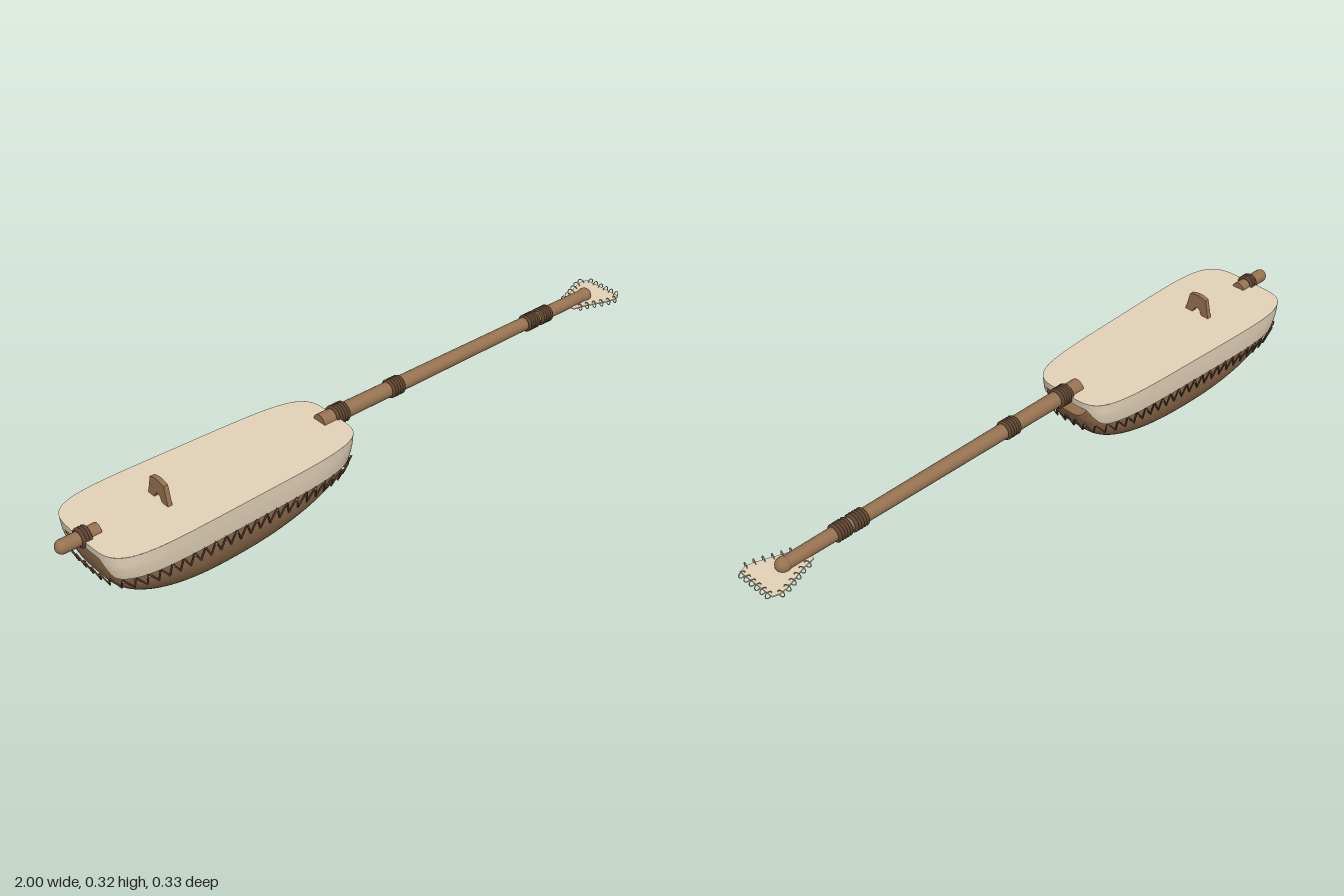
import * as THREE from 'three';

const mat = (name, color, side = THREE.FrontSide) => {
  const m = new THREE.MeshStandardMaterial({ color, side });
  m.name = name;
  return m;
};

// bowl profile, bottom to top: height, scale of outline, squareness of outline
const TOP = 0.258;
const MID_X = -0.517;
const PROFILE = [
  [0.001, 0, 2], [0.004, 0.18, 2], [0.012, 0.34, 2.1], [0.026, 0.5, 2.3], [0.05, 0.66, 2.7],
  [0.09, 0.815, 3.3], [0.14, 0.925, 4.1], [0.185, 0.972, 4.7], [0.22, 0.99, 5], [TOP, 1, 5],
];
const profileCurve = new THREE.CatmullRomCurve3(PROFILE.map(p => new THREE.Vector3(...p)));

// point on the body outline at an angle, for a given height, scale and squareness
function outline(phi, y, s, n, off = 0) {
  const c = Math.cos(phi), k = Math.sin(phi);
  const r = Math.pow(Math.abs(c) ** n + Math.abs(k) ** n, -1 / n);
  const dx = c * r;
  const width = 0.153 - 0.0145 * dx;
  return new THREE.Vector3(
    MID_X - 0.03 * (1 - s) + dx * (0.408 * s + off), y, k * r * (width * s + off));
}

// same, looked up by height alone
function wall(phi, y, off) {
  let i = 0;
  while (i < PROFILE.length - 2 && PROFILE[i + 1][0] < y) i++;
  const [a, b] = [PROFILE[i], PROFILE[i + 1]];
  const t = (y - a[0]) / (b[0] - a[0]);
  return outline(phi, y, a[1] + (b[1] - a[1]) * t, a[2] + (b[2] - a[2]) * t, off);
}

// closed grid around the body: fn(angle, v) with v running upwards
function loft(cols, rows, fn) {
  const pos = [], idx = [];
  for (let j = 0; j <= rows; j++)
    for (let i = 0; i <= cols; i++)
      pos.push(...fn((i / cols) * Math.PI * 2, j / rows).toArray());
  for (let j = 0; j < rows; j++)
    for (let i = 0; i < cols; i++) {
      const a = j * (cols + 1) + i, up = a + cols + 1;
      idx.push(a, up, up + 1, a, up + 1, a + 1);
    }
  const g = new THREE.BufferGeometry();
  g.setAttribute('position', new THREE.Float32BufferAttribute(pos, 3));
  g.setIndex(idx);
  g.computeVertexNormals();
  return g;
}

export function createModel() {
  const wood = mat('wood', 0x967251);
  const shell = mat('shell wood', 0x967251, THREE.DoubleSide);
  const hide = mat('hide', 0xe4d3b9, THREE.DoubleSide);
  const cord = mat('dark cord', 0x5e4431);
  const bone = mat('pale bone', 0xcfc2aa);
  const model = new THREE.Group();
  const add = (name, geo, m, parent = model) => {
    const mesh = new THREE.Mesh(geo, m);
    mesh.name = name;
    parent.add(mesh);
    return mesh;
  };
  const group = name => {
    const g = new THREE.Group();
    g.name = name;
    model.add(g);
    return g;
  };

  // hollow bowl, its rim cut down to a U-shaped sound hole under the neck
  const RIM = 0.24;
  const rimHeight = phi => {
    if (Math.cos(phi) < 0) return RIM;
    const z = Math.abs(wall(phi, 0.2, 0).z);
    return Math.min(RIM, 0.188 + 0.052 * (z / 0.078) ** 3);
  };
  add('bowl', loft(256, 40, (phi, v) => {
    if (v > 0.75) return wall(phi, THREE.MathUtils.lerp(0.14, rimHeight(phi), (v - 0.75) * 4), 0);
    const p = profileCurve.getPoint((v / 0.75) * (6 / 9));
    return outline(phi, p.x, p.y, p.z);
  }), shell);

  // hide: side wall drawn up at each end, and the flat top
  add('hideWall', loft(192, 8, (phi, v) => {
    const z = Math.abs(wall(phi, 0.2, 0).z);
    const low = 0.18 + 0.056 * (1 - THREE.MathUtils.smoothstep(z, 0.07, 0.115));
    return wall(phi, low + (TOP - low) * v, 0.004);
  }), hide);
  add('hideTop', loft(128, 1, (phi, v) =>
    wall(phi, TOP, 0.004).lerp(new THREE.Vector3(MID_X, TOP, 0), v)), hide);

  // thin zigzag lacing, evenly spaced around the rim, with pegs at alternate upper points
  const lacing = group('lacing');
  const ring = [];
  for (let i = 0; i < 400; i++) ring.push(wall((i / 400) * Math.PI * 2, 0.18, 0));
  const rim = new THREE.CatmullRomCurve3(ring, true);
  rim.arcLengthDivisions = 1200;
  const COUNT = 60;
  const angles = rim.getSpacedPoints(COUNT * 2).slice(0, -1).map(p => {
    const dx = (p.x - MID_X) / 0.408;
    return Math.atan2(p.z / (0.153 - 0.0145 * dx), dx);
  });
  // the lacing bulges a little more at the two ends
  const laced = (phi, y) => {
    const p = wall(phi, y, 0.0065);
    p.x += (p.x - MID_X) * 0.015;
    return p;
  };
  const stitches = angles.map((phi, i) => laced(phi, i % 2 ? 0.144 : 0.185));
  const pegGeo = new THREE.SphereGeometry(0.004, 8, 6);
  stitches.forEach((p, i) => {
    const q = stitches[(i + 1) % stitches.length];
    add('stitch', new THREE.TubeGeometry(new THREE.LineCurve3(p, q), 1, 0.0025, 6), cord, lacing);
    if (i % 4 === 0) add('peg', pegGeo, bone, lacing).position.copy(laced(angles[i], 0.177));
  });

  // neck and tail spike, round rods lying along x
  const Y = 0.256;
  const rod = (name, x0, x1, r0, r1) => {
    const g = new THREE.CylinderGeometry(r1, r0, x1 - x0, 24);
    g.rotateZ(-Math.PI / 2);
    add(name, g, wood).position.set((x0 + x1) / 2, Y, 0);
  };
  const knob = (name, x, r) =>
    add(name, new THREE.SphereGeometry(r, 24, 16), wood).position.set(x, Y, 0);
  rod('neck', -0.157, 0.9, 0.024, 0.019);
  knob('neckTip', 0.899, 0.022);
  rod('tailSpike', -0.98, -0.875, 0.02, 0.02);
  knob('tailTip', -0.98, 0.02);

  // cord wrappings, each a row of coils
  const wraps = group('cordWraps');
  for (const [x, coils, r] of [
    [-0.92, 3, 0.023], [-0.091, 5, 0.025], [0.115, 5, 0.023], [0.66, 5, 0.021], [0.715, 5, 0.021]])
    for (let i = 0; i < coils; i++) {
      const coil = add('coil', new THREE.TorusGeometry(r, 0.0055, 8, 28), cord, wraps);
      coil.rotation.y = Math.PI / 2;
      coil.position.set(x + (i - (coils - 1) / 2) * 0.009, Y, 0);
    }

  // bridge: tapered plate standing on two feet
  const b = new THREE.Shape();
  b.moveTo(-0.044, 0.256);
  b.lineTo(-0.03, 0.315);
  b.quadraticCurveTo(0, 0.328, 0.03, 0.315);
  b.lineTo(0.044, 0.256);
  b.lineTo(0.018, 0.256);
  b.quadraticCurveTo(0, 0.3, -0.018, 0.256);
  const bridgeGeo = new THREE.ExtrudeGeometry(b, { depth: 0.014, bevelEnabled: false, curveSegments: 10 });
  bridgeGeo.rotateY(Math.PI / 2);
  add('bridge', bridgeGeo, wood).position.x = -0.692;

  // fan-shaped rattle plate under the neck tip
  const half = [[0.825, 0.028], [0.865, 0.037], [0.905, 0.053], [0.94, 0.066], [0.965, 0.07], [0.985, 0.064]];
  const edge = [...half, ...half.map(([x, z]) => [x, -z]).reverse()];
  const fan = new THREE.Shape(edge.map(([x, z]) => new THREE.Vector2(x, z)));
  const fanGeo = new THREE.ExtrudeGeometry(fan, { depth: 0.004, bevelEnabled: false });
  fanGeo.rotateX(Math.PI / 2);
  add('rattlePlate', fanGeo, hide).position.y = 0.248;

  // wire rings threaded along the plate's edge
  const rings = group('rattleRings');
  const ringGeo = new THREE.TorusGeometry(0.01, 0.0014, 6, 20);
  const addRing = (x, z, angle) => {
    const r = add('ring', ringGeo, bone, rings);
    r.position.set(x, 0.246, z);
    r.rotation.y = angle;
  };
  const side = new THREE.SplineCurve(half.map(([x, z]) => new THREE.Vector2(x, z)));
  for (const s of [-1, 1])
    for (const p of side.getSpacedPoints(7).slice(1, 7)) addRing(p.x, s * p.y, Math.PI / 2 - s * 0.3);
  for (let i = 0; i < 6; i++) addRing(0.987, (i - 2.5) * 0.021, 0);

  return model;
}
